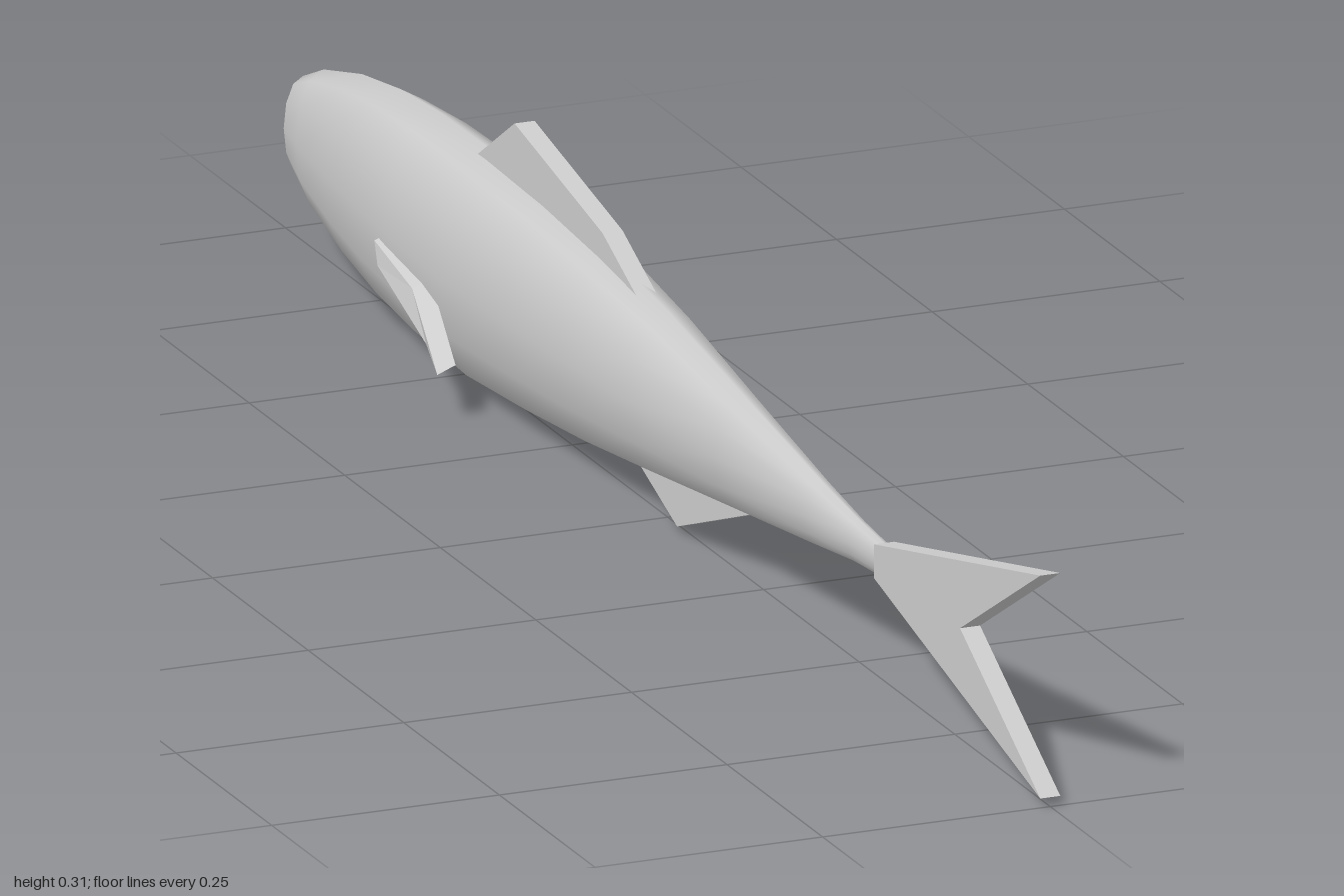
import * as THREE from 'three';

const SIDES = 12;
const grey = new THREE.MeshStandardMaterial({ color: 0xcccccc });
grey.name = 'grey';

// Body cross-sections: z, bottom y, top y, half width
const SECTIONS = [
  [-1, 0.115, 0.115, 0], [-0.955, 0.07, 0.176, 0.021], [-0.9, 0.048, 0.2, 0.031],
  [-0.8, 0.026, 0.226, 0.044], [-0.7, 0.012, 0.241, 0.054], [-0.6, 0.004, 0.248, 0.06],
  [-0.45, 0.0, 0.25, 0.065], [-0.3, 0.011, 0.246, 0.063], [-0.15, 0.025, 0.236, 0.058],
  [0, 0.043, 0.22, 0.049], [0.2, 0.068, 0.191, 0.034], [0.4, 0.093, 0.163, 0.02],
  [0.5, 0.106, 0.152, 0.013], [0.57, 0.111, 0.147, 0.01],
];

function add(group, name, geometry) {
  const mesh = new THREE.Mesh(geometry, grey);
  mesh.name = name;
  group.add(mesh);
}

// Smooth loft of elliptical rings, closed at the tail end
function bodyGeometry() {
  const pos = [], index = [];
  SECTIONS.forEach(([z, y0, y1, w], i) => {
    for (let j = 0; j < SIDES; j++) {
      const a = (j / SIDES) * Math.PI * 2;
      pos.push(w * Math.sin(a), (y0 + y1) / 2 + ((y1 - y0) / 2) * Math.cos(a), z);
    }
    if (i === 0) return;
    for (let j = 0; j < SIDES; j++) {
      const k = (j + 1) % SIDES, p = (i - 1) * SIDES, q = i * SIDES;
      // The first ring is the nose point, so only one triangle is needed there
      if (i === 1) index.push(0, q + j, q + k);
      else index.push(p + j, q + j, q + k, p + j, q + k, p + k);
    }
  });
  const last = (SECTIONS.length - 1) * SIDES;
  for (let j = 1; j < SIDES - 1; j++) index.push(last, last + j + 1, last + j);
  const g = new THREE.BufferGeometry();
  g.setAttribute('position', new THREE.Float32BufferAttribute(pos, 3));
  g.setIndex(index);
  g.computeVertexNormals();
  return g;
}

// Upright fin on the centre line, outlined by [z, y] points
function finGeometry(points, thickness = 0.022) {
  const shape = new THREE.Shape(points.map(([z, y]) => new THREE.Vector2(z, y)));
  const g = new THREE.ExtrudeGeometry(shape, { depth: thickness, bevelEnabled: false });
  return g.translate(0, 0, -thickness / 2).rotateY(-Math.PI / 2);
}

// Slim side fin: a flared blade with flat sides, side is +1 or -1
function sideFinGeometry(side) {
  const outer = [
    [0.062, 0.112, -0.62], [0.071, 0.099, -0.5], [0.1, 0.052, -0.365],
    [0.085, 0.063, -0.43], [0.067, 0.092, -0.6],
  ];
  const inner = outer.map(([x, y, z]) => [x - 0.02, y + 0.008, z]);
  const pos = [];
  const tri = (a, b, c) => {
    for (const [x, y, z] of side > 0 ? [a, b, c] : [a, c, b]) pos.push(x * side, y, z);
  };
  for (const [a, b, c] of [[0, 1, 4], [1, 3, 4], [1, 2, 3]]) {
    tri(outer[a], outer[b], outer[c]);
    tri(inner[a], inner[c], inner[b]);
  }
  for (let i = 0; i < 5; i++) {
    const j = (i + 1) % 5;
    tri(outer[i], inner[i], inner[j]);
    tri(outer[i], inner[j], outer[j]);
  }
  const g = new THREE.BufferGeometry();
  g.setAttribute('position', new THREE.Float32BufferAttribute(pos, 3));
  g.computeVertexNormals();
  return g;
}

export function createModel() {
  const fish = new THREE.Group();
  fish.name = 'fish';
  add(fish, 'body', bodyGeometry());
  add(fish, 'tailFin', finGeometry([[0.565, 0.111], [1, 0.01], [0.79, 0.127], [1, 0.248], [0.565, 0.147]]));
  add(fish, 'backFin', finGeometry([[-0.5, 0.225], [-0.04, 0.213], [-0.145, 0.26], [-0.375, 0.306]]));
  add(fish, 'bellyFin', finGeometry([[-0.1, 0.062], [0.05, 0.007], [0.25, 0.082]]));
  add(fish, 'leftSideFin', sideFinGeometry(1));
  add(fish, 'rightSideFin', sideFinGeometry(-1));
  return fish;
}
